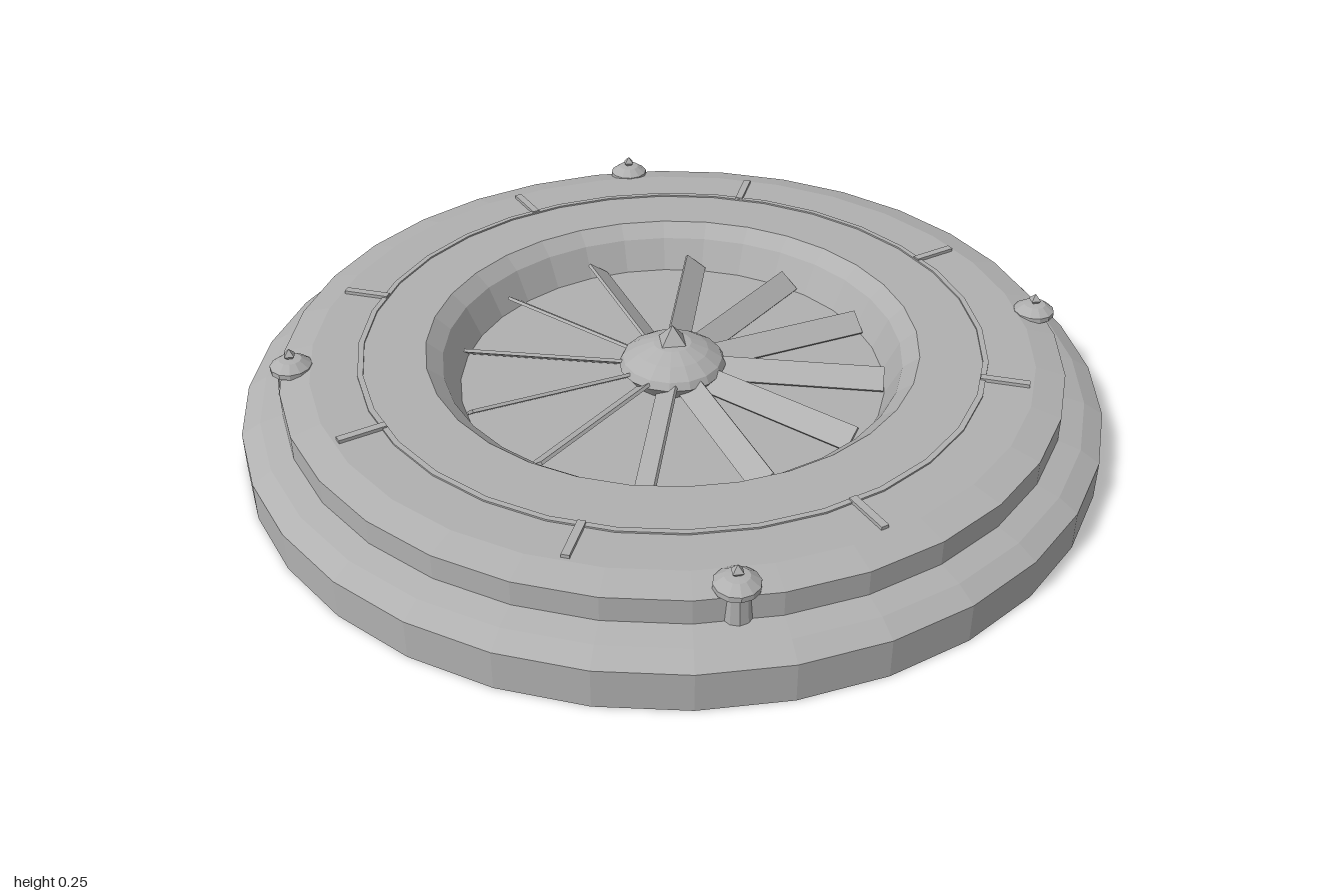
import * as THREE from 'three';

const stone = new THREE.MeshStandardMaterial({ color: 0xb0b0b0, flatShading: true });
stone.name = 'plain grey';

// Turned solid, rotated half a segment so flats face the axes
function turned(name, profile, sides) {
  const pts = profile.map(([r, y]) => new THREE.Vector2(r, y));
  const mesh = new THREE.Mesh(new THREE.LatheGeometry(pts, sides, Math.PI / sides), stone);
  mesh.name = name;
  return mesh;
}

function spike(name, radius, height, y) {
  const mesh = new THREE.Mesh(new THREE.ConeGeometry(radius, height, 4), stone);
  mesh.name = name;
  mesh.position.y = y + height / 2;
  return mesh;
}

export function createModel() {
  const model = new THREE.Group();
  model.name = 'ventHatch';

  // Stepped body with a sunken round well
  model.add(turned('body', [
    [0, 0], [1.004, 0], [1.004, 0.092], [0.96, 0.118], [0.908, 0.132], [0.908, 0.19],
    [0.84, 0.206], [0.577, 0.206], [0.54, 0.175], [0.503, 0.1], [0, 0.1],
  ], 32));

  // Thin raised ring around the deck
  model.add(turned('deckRing', [
    [0.72, 0.204], [0.733, 0.204], [0.733, 0.21], [0.72, 0.21], [0.72, 0.204],
  ], 32));

  // Radial tick bars
  for (let i = 0; i < 8; i++) {
    const pivot = new THREE.Group();
    pivot.name = 'tickBar';
    pivot.rotation.y = (i + 0.5) * Math.PI / 4;
    const bar = new THREE.Mesh(new THREE.BoxGeometry(0.11, 0.014, 0.018), stone);
    bar.name = 'tick';
    bar.position.set(0.773, 0.207, 0);
    pivot.add(bar);
    model.add(pivot);
  }

  // Tilted fan blades
  for (let i = 0; i < 12; i++) {
    const pivot = new THREE.Group();
    pivot.name = 'fanBlade';
    pivot.rotation.y = i * Math.PI / 6;
    const blade = new THREE.Mesh(new THREE.BoxGeometry(0.42, 0.008, 0.06), stone);
    blade.name = 'blade';
    blade.position.set(0.29, 0.126, 0);
    blade.rotation.x = 0.65;
    pivot.add(blade);
    model.add(pivot);
  }

  // Domed hub with a pointed tip
  model.add(turned('hub', [
    [0.1, 0.1], [0.127, 0.135], [0.118, 0.153], [0.085, 0.175], [0.045, 0.192], [0, 0.198],
  ], 16));
  model.add(spike('hubTip', 0.04, 0.042, 0.195));

  // Four capped bolts on the rim
  for (const x of [-1, 1]) for (const z of [-1, 1]) {
    const bolt = new THREE.Group();
    bolt.name = 'bolt';
    bolt.position.set(x * 0.623, 0, z * 0.623);
    bolt.add(turned('boltPost', [
      [0.037, 0.125], [0.033, 0.19], [0.048, 0.196], [0.048, 0.208], [0.026, 0.224], [0, 0.227],
    ], 12));
    const knob = new THREE.Mesh(new THREE.OctahedronGeometry(0.016), stone);
    knob.name = 'boltKnob';
    knob.position.y = 0.234;
    bolt.add(knob);
    model.add(bolt);
  }
  return model;
}
